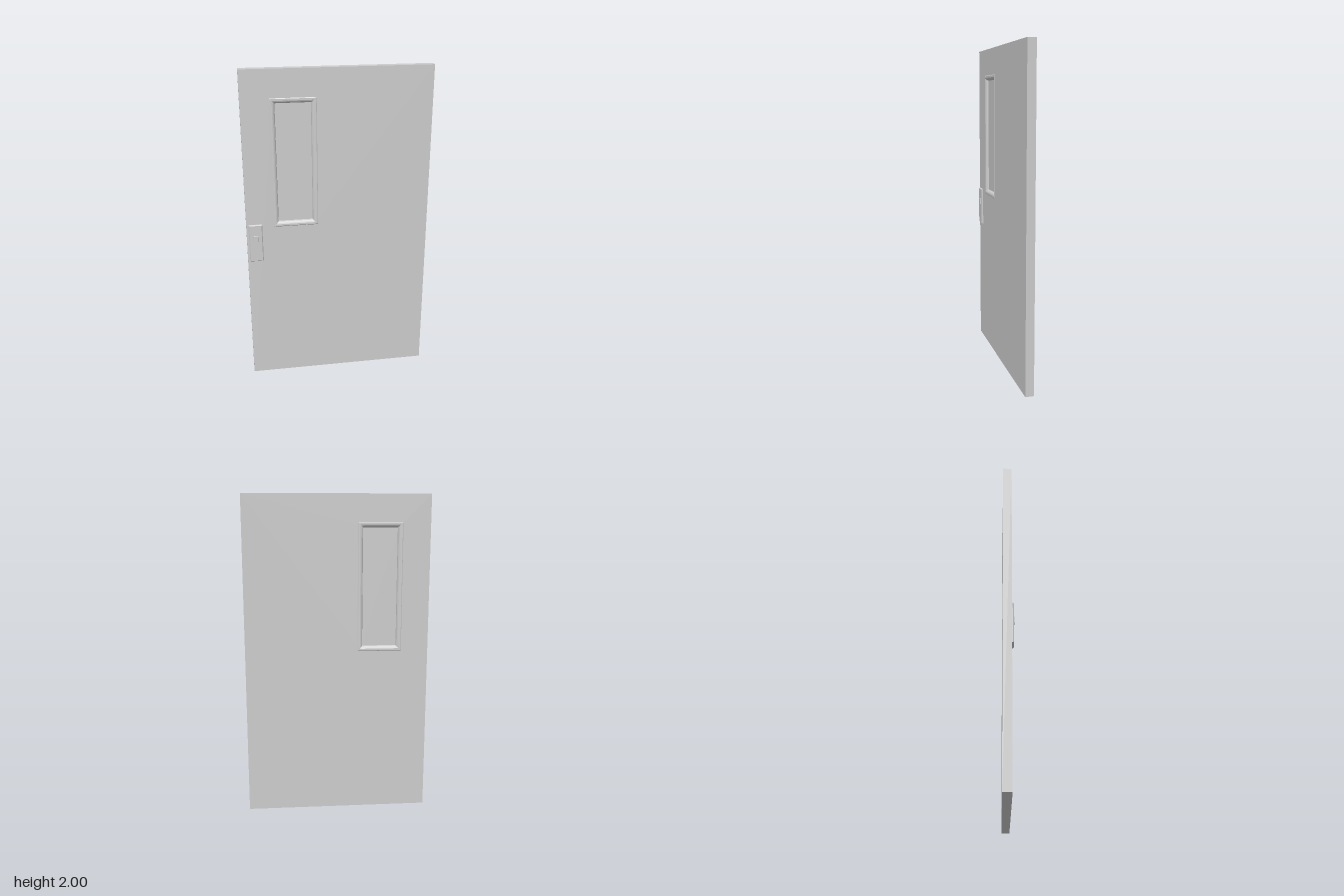
import * as THREE from 'three';

const material = new THREE.MeshStandardMaterial({ color: 0xcccccc, flatShading: true });
const MID = -0.008;   // z of the middle of the door leaf
const HALF = 0.026;   // half of its thickness

function add(parent, name, geometry, x = 0, y = 0, z = 0) {
  const mesh = new THREE.Mesh(geometry, material);
  mesh.name = name;
  mesh.position.set(x, y, z);
  parent.add(mesh);
  return mesh;
}

// Rectangular rings joined from the outside in; each section is [inset, z]
function rectLoft(w, h, sections, capped) {
  const rings = sections.map(([inset, z]) => {
    const a = w / 2 - inset, b = h / 2 - inset;
    return [[-a, -b, z], [a, -b, z], [a, b, z], [-a, b, z]];
  });
  const pos = [];
  const quad = (a, b, c, d) => pos.push(...a, ...b, ...c, ...a, ...c, ...d);
  for (let s = 0; s < rings.length - 1; s++) {
    for (let i = 0; i < 4; i++) {
      const j = (i + 1) % 4;
      quad(rings[s][i], rings[s][j], rings[s + 1][j], rings[s + 1][i]);
    }
  }
  if (capped) quad(...rings[rings.length - 1]);
  const geometry = new THREE.BufferGeometry();
  geometry.setAttribute('position', new THREE.Float32BufferAttribute(pos, 3));
  geometry.computeVertexNormals();
  return geometry;
}

function rectPath(path, x0, y0, x1, y1) {
  path.moveTo(x0, y0);
  path.lineTo(x1, y0);
  path.lineTo(x1, y1);
  path.lineTo(x0, y1);
  path.closePath();
  return path;
}

export function createModel() {
  const door = new THREE.Group();
  door.name = 'door';

  // Leaf with the window opening cut through
  const leaf = rectPath(new THREE.Shape(), -0.57, 0, 0.57, 2);
  leaf.holes.push(rectPath(new THREE.Path(), -0.385, 1.06, -0.143, 1.815));
  add(door, 'doorLeaf', new THREE.ExtrudeGeometry(leaf, { depth: HALF * 2, bevelEnabled: false }), 0, 0, MID - HALF);

  // Window: pane and a moulding on each face
  const windowGroup = new THREE.Group();
  windowGroup.name = 'window';
  windowGroup.position.set(-0.264, 1.4375, MID);
  door.add(windowGroup);
  add(windowGroup, 'windowPane', new THREE.BoxGeometry(0.24, 0.75, 0.02));
  const moulding = rectLoft(0.275, 0.791, [
    [0, HALF], [0.004, HALF + 0.003], [0.015, HALF + 0.003],
    [0.022, HALF], [0.029, HALF - 0.007], [0.032, 0.01],
  ], false);
  add(windowGroup, 'frontMoulding', moulding);
  add(windowGroup, 'backMoulding', moulding).rotation.y = Math.PI;

  // Lock plate with a raised button
  const lock = new THREE.Group();
  lock.name = 'lock';
  lock.position.set(-0.515, 0.941, MID + HALF);
  door.add(lock);
  add(lock, 'lockPlate', rectLoft(0.084, 0.244, [[0, 0], [0, 0.004], [0.005, 0.011]], true));
  add(lock, 'lockButton', rectLoft(0.034, 0.04, [[0, 0.011], [0.002, 0.015]], true), 0, 0.031, 0);

  return door;
}
